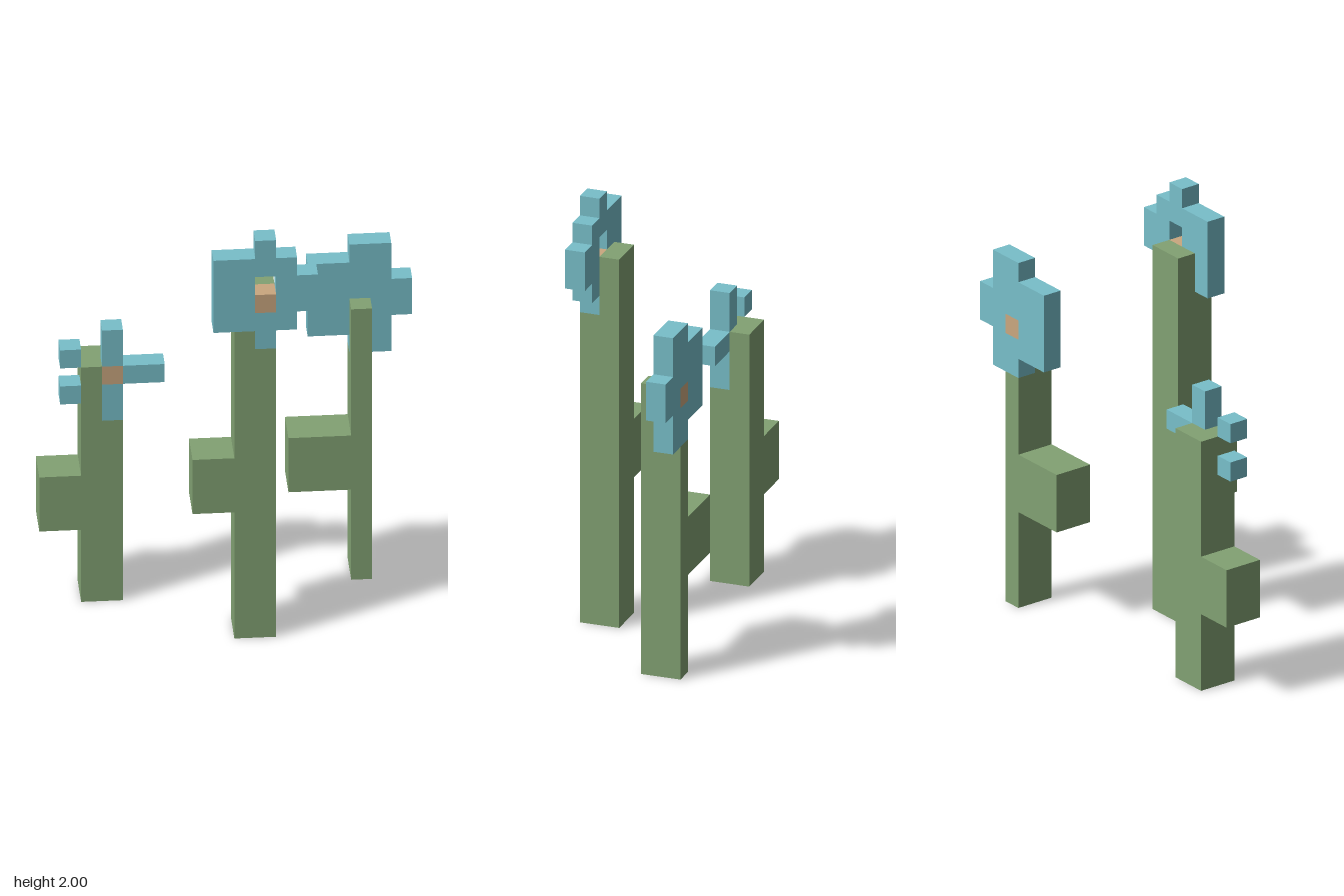
import * as THREE from 'three';

// All coordinates are in blocks; one block is 1/11 unit.
const U = 1 / 11;

const leafGreen = new THREE.MeshStandardMaterial({ name: 'leaf green', color: 0x82a273 });
const petalBlue = new THREE.MeshStandardMaterial({ name: 'petal blue', color: 0x78bfca });
const centreTan = new THREE.MeshStandardMaterial({ name: 'centre tan', color: 0xcaa77f });

// Box from its lower and upper corners
function block(name, material, [x0, y0, z0], [x1, y1, z1]) {
  const geometry = new THREE.BoxGeometry((x1 - x0) * U, (y1 - y0) * U, (z1 - z0) * U);
  const mesh = new THREE.Mesh(geometry, material);
  mesh.position.set((x0 + x1) / 2 * U, (y0 + y1) / 2 * U, (z0 + z1) / 2 * U);
  mesh.name = name;
  return mesh;
}

// One-block-thick blossom from a stepped outline with a rectangular hole
function blossom(outline, [hx0, hy0, hx1, hy1], z0) {
  const points = (list) => list.map(([x, y]) => new THREE.Vector2(x * U, y * U));
  const shape = new THREE.Shape(points(outline));
  shape.holes.push(new THREE.Path(points([[hx0, hy0], [hx0, hy1], [hx1, hy1], [hx1, hy0]])));
  const geometry = new THREE.ExtrudeGeometry(shape, { depth: U, bevelEnabled: false });
  const mesh = new THREE.Mesh(geometry, petalBlue);
  mesh.position.z = z0 * U;
  mesh.name = 'petals';
  return mesh;
}

function flower(name, ...parts) {
  const group = new THREE.Group();
  group.name = name;
  group.add(...parts);
  return group;
}

export function createModel() {
  const model = new THREE.Group();
  model.name = 'flowers';

  // Tall flower: petals on the front half of the stem
  model.add(flower('tallFlower',
    block('stem', leafGreen, [0, 0, 1.5], [2, 16, 3.5]),
    block('stemTop', leafGreen, [0, 16, 1.5], [2, 19, 2.5]),
    block('stemShoulder', leafGreen, [0, 16, 2.5], [1, 17, 3.5]),
    block('leaf', leafGreen, [-2, 7, 1.5], [0, 10, 3.5]),
    blossom([
      [-1, 17], [1, 17], [1, 16], [2, 16], [2, 17], [3, 17], [3, 18], [4, 18],
      [4, 20], [3, 20], [3, 21], [2, 21], [2, 22], [1, 22], [1, 21], [-1, 21],
    ], [1, 18, 2, 20], 2.5),
    block('centre', centreTan, [1, 18, 2.5], [2, 19, 3.5]),
  ));

  // Short flower: sparse, separate petals on the front half of the stem
  const petalRects = [
    [-6, 10, -5, 12], [-6, 13, -5, 15], [-5, 12, -3, 13],
    [-8, 11, -7, 12], [-8, 13, -7, 14],
  ];
  model.add(flower('shortFlower',
    block('stem', leafGreen, [-7, 0, -2.5], [-5, 10, -0.5]),
    block('stemTop', leafGreen, [-7, 10, -2.5], [-5, 13, -1.5]),
    block('stemShoulder', leafGreen, [-7, 10, -1.5], [-6, 13, -0.5]),
    block('leaf', leafGreen, [-9, 4, -2.5], [-7, 7, -0.5]),
    ...petalRects.map(([x0, y0, x1, y1]) =>
      block('petal', petalBlue, [x0, y0, -1.5], [x1, y1, -0.5])),
    block('centre', centreTan, [-6, 12, -1.5], [-5, 13, -0.5]),
  ));

  // Slim flower: petals on the back half of the stem
  model.add(flower('slimFlower',
    block('stem', leafGreen, [6, 0, -3.5], [7, 12, -1.5]),
    block('stemTop', leafGreen, [6, 12, -2.5], [7, 15, -1.5]),
    block('leaf', leafGreen, [3, 5, -3.5], [6, 8, -1.5]),
    blossom([
      [4, 13], [6, 13], [6, 12], [8, 12], [8, 14], [9, 14],
      [9, 16], [8, 16], [8, 18], [6, 18], [6, 17], [4, 17],
    ], [6, 14, 7, 15], -3.5),
    block('centre', centreTan, [6, 14, -3.5], [7, 15, -2.5]),
  ));

  return model;
}
